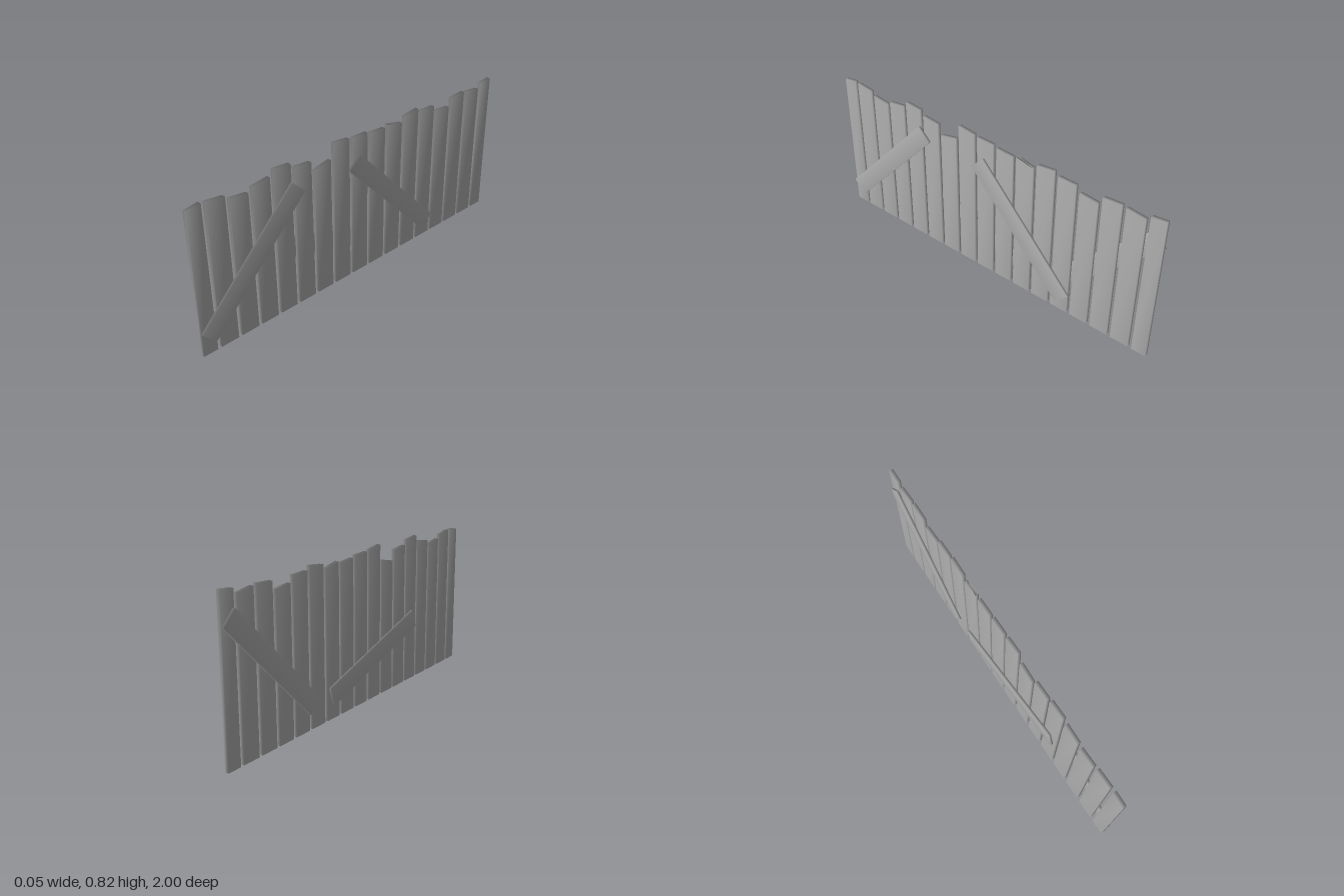
import * as THREE from 'three';
import { mergeVertices } from 'three/addons/utils/BufferGeometryUtils.js';

// Box with shared corners, so its shading runs smoothly over the edges
function softBox(x, y, z) {
  const g = new THREE.BoxGeometry(x, y, z);
  g.deleteAttribute('normal');
  g.deleteAttribute('uv');
  return mergeVertices(g);
}

export function createModel() {
  const fence = new THREE.Group();
  fence.name = 'fence';
  const wood = new THREE.MeshStandardMaterial({ color: 0xb0b0b0 });
  wood.name = 'greyWood';

  // Upright planks from +z to -z: top height at the +z edge and at the -z edge
  const tops = [
    [0.795, 0.805], [0.80, 0.787], [0.765, 0.753], [0.773, 0.785], [0.816, 0.807],
    [0.78, 0.77], [0.715, 0.735], [0.818, 0.806], [0.80, 0.797], [0.786, 0.78],
    [0.79, 0.768], [0.795, 0.807], [0.785, 0.783], [0.75, 0.74], [0.783, 0.79],
    [0.784, 0.772], [0.797, 0.806],
  ];
  const pitch = 0.1215, half = 0.05;
  tops.forEach(([front, back], i) => {
    const mid = (8 - i) * pitch;
    const z1 = Math.min(1, mid + half);
    const z0 = Math.max(-1, mid - half);
    const g = softBox(0.021, 1, z1 - z0);
    const p = g.attributes.position;
    for (let k = 0; k < p.count; k++) {
      p.setY(k, p.getY(k) < 0 ? 0 : p.getZ(k) > 0 ? front : back);
    }
    g.computeVertexNormals();
    const plank = new THREE.Mesh(g, wood);
    plank.name = `plank${i + 1}`;
    plank.position.z = (z0 + z1) / 2;
    fence.add(plank);
  });

  // Slanted boards nailed to both sides: side, then z and y of each end
  const braces = [
    ['leftFrontBrace', 1, 0.965, 0.10, 0.404, 0.68],
    ['leftBackBrace', 1, 0.043, 0.665, -0.508, 0.085],
    ['rightFrontBrace', -1, 0.505, 0.354, -0.265, 0.121],
    ['rightBackBrace', -1, -0.405, 0.12, -0.965, 0.68],
  ];
  for (const [name, side, z1, y1, z2, y2] of braces) {
    const g = softBox(0.015, 0.1, Math.hypot(z2 - z1, y2 - y1));
    g.computeVertexNormals();
    const brace = new THREE.Mesh(g, wood);
    brace.name = name;
    brace.position.set(side * 0.0175, (y1 + y2) / 2, (z1 + z2) / 2);
    brace.rotation.x = -Math.atan2(y1 - y2, z1 - z2);
    fence.add(brace);
  }
  return fence;
}
